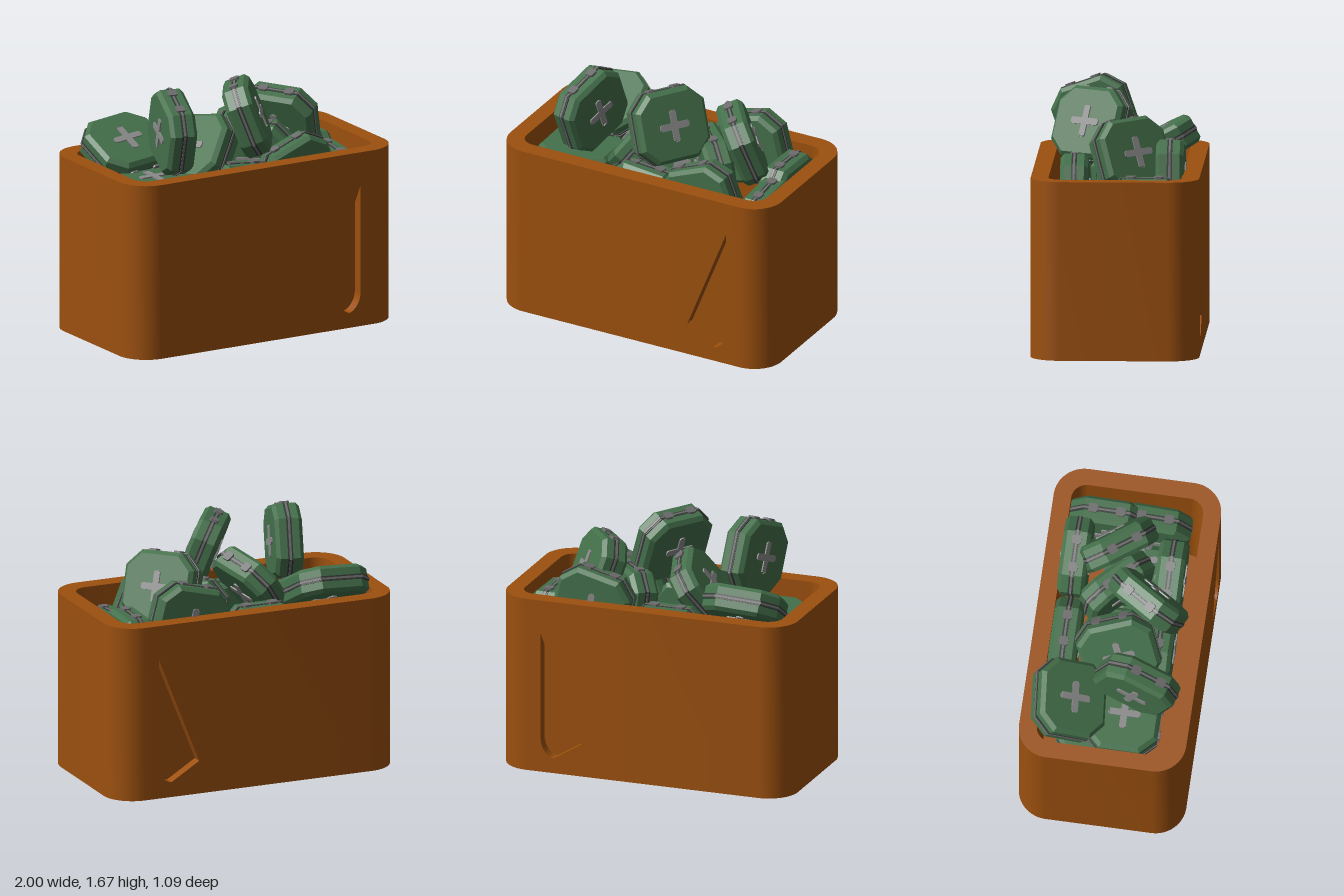
import * as THREE from 'three';
import { toCreasedNormals } from 'three/addons/utils/BufferGeometryUtils.js';

const mat = (name, color) => new THREE.MeshStandardMaterial({ name, color });
const orange = mat('binOrange', 0x9c500e);
const green = mat('caseGreen', 0x44704b);
const light = mat('crossGrey', 0x8a8a8a);
const grey = mat('latchGrey', 0x6c6c6c);
const dark = mat('grooveDark', 0x333a35);

const HEIGHT = 1.165, DEPTH = 0.545, CUT = 0.07;

function extrude(shape, depth, opts = {}) {
  return new THREE.ExtrudeGeometry(shape, { depth, bevelEnabled: false, curveSegments: 8, ...opts });
}

function add(parent, name, geometry, material) {
  const mesh = new THREE.Mesh(geometry, material);
  mesh.name = name;
  parent.add(mesh);
  return mesh;
}

// Rounded rectangle; an optional notch [x0, x1, depth] is cut from both long sides
function roundRect(w, d, r, notch) {
  const s = new THREE.Shape();
  s.moveTo(-w + r, -d);
  if (notch) {
    const [a, b, c] = notch;
    s.lineTo(a, -d).lineTo(a, -d + c).lineTo(b, -d + c).lineTo(b, -d);
  }
  s.absarc(w - r, -d + r, r, -Math.PI / 2, 0);
  s.absarc(w - r, d - r, r, 0, Math.PI / 2);
  if (notch) {
    const [a, b, c] = notch;
    s.lineTo(b, d).lineTo(b, d - c).lineTo(a, d - c).lineTo(a, d);
  }
  s.absarc(-w + r, d - r, r, Math.PI / 2, Math.PI);
  s.absarc(-w + r, -d + r, r, Math.PI, Math.PI * 1.5);
  return s;
}

function makeBin() {
  const bin = new THREE.Group();
  bin.name = 'bin';
  // Walls
  const ring = roundRect(1, DEPTH, 0.2, [0.35, 0.75, CUT]);
  ring.holes.push(roundRect(0.89, 0.43, 0.1));
  const wall = toCreasedNormals(extrude(ring, HEIGHT).rotateX(-Math.PI / 2), 0.6);
  add(bin, 'binWall', wall, orange);
  // Floor
  add(bin, 'binFloor', extrude(roundRect(0.89, 0.43, 0.1), 0.1).rotateX(-Math.PI / 2), orange);
  // Panels with a slanted recess, front and back
  const panel = new THREE.Shape();
  panel.moveTo(0.35, 0).lineTo(0.75, 0).lineTo(0.75, HEIGHT).lineTo(0.35, HEIGHT);
  const slot = new THREE.Path();
  slot.moveTo(0.7, 0.94).lineTo(0.415, 0.22).lineTo(0.61, 0.1);
  slot.bezierCurveTo(0.65, 0.1, 0.7, 0.16, 0.7, 0.22);
  slot.lineTo(0.7, 0.94);
  panel.holes.push(slot);
  const geo = extrude(panel, CUT);
  add(bin, 'frontRecessPanel', geo, orange).position.z = DEPTH - CUT;
  add(bin, 'backRecessPanel', geo, orange).position.z = -DEPTH;
  return bin;
}

// Rectangle with cut corners
function octagon(w, h, c) {
  return new THREE.Shape([
    [w - c, -h], [w, -h + c], [w, h - c], [w - c, h],
    [-w + c, h], [-w, h - c], [-w, -h + c], [-w + c, -h],
  ].map(([x, y]) => new THREE.Vector2(x, y)));
}

function crossShape(l, t) {
  const s = new THREE.Shape();
  s.moveTo(t, -l + 0.01);
  for (let i = 0; i < 4; i++) {
    const a = (i * Math.PI) / 2, c = Math.cos(a), n = Math.sin(a);
    for (const [x, y] of [[-t + 0.01, -l], [t - 0.01, -l], [t, -l + 0.01], [t, -t], [l - 0.01, -t]])
      s.lineTo(x * c - y * n, x * n + y * c);
  }
  return s;
}

// Shared geometries of one first-aid case
const W = 0.25, H = 0.235, T = 0.09, BEVEL = 0.025;
const bodyGeo = extrude(octagon(W - BEVEL, H - BEVEL, 0.09), 2 * T - 0.05,
  { bevelEnabled: true, bevelSegments: 1, bevelSize: BEVEL, bevelThickness: 0.025 }).translate(0, 0, -T + 0.025);
const grooveGeo = extrude(octagon(W + 0.002, H + 0.002, 0.1), 0.034).translate(0, 0, -0.017);
const stripGeo = extrude(octagon(W + 0.006, H + 0.006, 0.1), 0.014).translate(0, 0, -0.007);
const crossGeo = extrude(crossShape(0.105, 0.022), 0.009).translate(0, 0, T);
const latchGeo = extrude(octagon(0.03, 0.03, 0.01), 0.025).rotateX(-Math.PI / 2).translate(0, H - 0.01, 0);

function makeCase([position, normal, up]) {
  const g = new THREE.Group();
  g.name = 'firstAidCase';
  add(g, 'caseBody', bodyGeo, green);
  add(g, 'groove', grooveGeo, dark);
  add(g, 'seamStrip', stripGeo, grey);
  add(g, 'frontCross', crossGeo, light);
  add(g, 'backCross', crossGeo, light).rotation.y = Math.PI;
  for (const s of [-1, 1]) add(g, 'latch', latchGeo, grey).position.x = s * 0.09;
  // Orient by face normal and latch direction
  const n = new THREE.Vector3(...normal).normalize();
  const u = new THREE.Vector3(...up);
  u.addScaledVector(n, -u.dot(n)).normalize();
  const w = new THREE.Vector3().crossVectors(u, n);
  g.setRotationFromMatrix(new THREE.Matrix4().makeBasis(w, u, n));
  g.position.set(...position);
  return g;
}

// Each case: centre, face normal, latch direction
const CASES = [
  // Top of the heap
  [[-0.6, 1.195, -0.25], [-0.03, 0.88, 0.47], [0.09, 0, 1]],
  [[-0.5, 1.39, 0.18], [0.96, 0, 0.24], [0.05, 0.93, 0.36]],
  [[0.07, 1.41, 0.175], [0.78, 0.36, 0.5], [-0.3, 0.93, -0.2]],
  [[0.475, 1.265, -0.09], [0.76, 0.36, -0.55], [-0.25, 0.93, 0.25]],
  [[-0.2, 1.18, 0.02], [-0.78, 0.6, 0.12], [0.55, 0.75, -0.32]],
  [[0.386, 1.0, 0.275], [0, 0, 1], [-0.37, 0.93, 0]],
  [[0.41, 1.11, -0.345], [0, 0, 1], [-0.25, 0.97, 0]],
  // Along the walls
  [[-0.6, 1.0, 0.11], [0, 1, 0.03], [0, 0, 1]],
  [[-0.1, 0.92, -0.34], [0, 0, 1], [0, 1, 0]],
  [[0.27, 1.06, -0.06], [0.7, 0.12, -0.7], [0, 1, 0]],
  [[0.74, 0.92, -0.19], [1, 0, 0.02], [0, 1, 0]],
  [[0.755, 0.86, 0.1], [1, 0, 0], [0, 1, 0.1]],
  [[-0.05, 0.9, 0.27], [0, 0, 1], [0.1, 1, 0]],
];

export function createModel() {
  const model = new THREE.Group();
  model.name = 'binOfFirstAidCases';
  model.add(makeBin());
  const heap = new THREE.Group();
  heap.name = 'caseHeap';
  CASES.forEach((c) => heap.add(makeCase(c)));
  // Lower layers lying flat
  for (const y of [0.2, 0.42, 0.64])
    for (const x of [-0.58, 0, 0.58]) heap.add(makeCase([[x, y, x * 0.1], [0, 1, 0], [x * 0.3, 0, 1]]));
  model.add(heap);
  return model;
}
